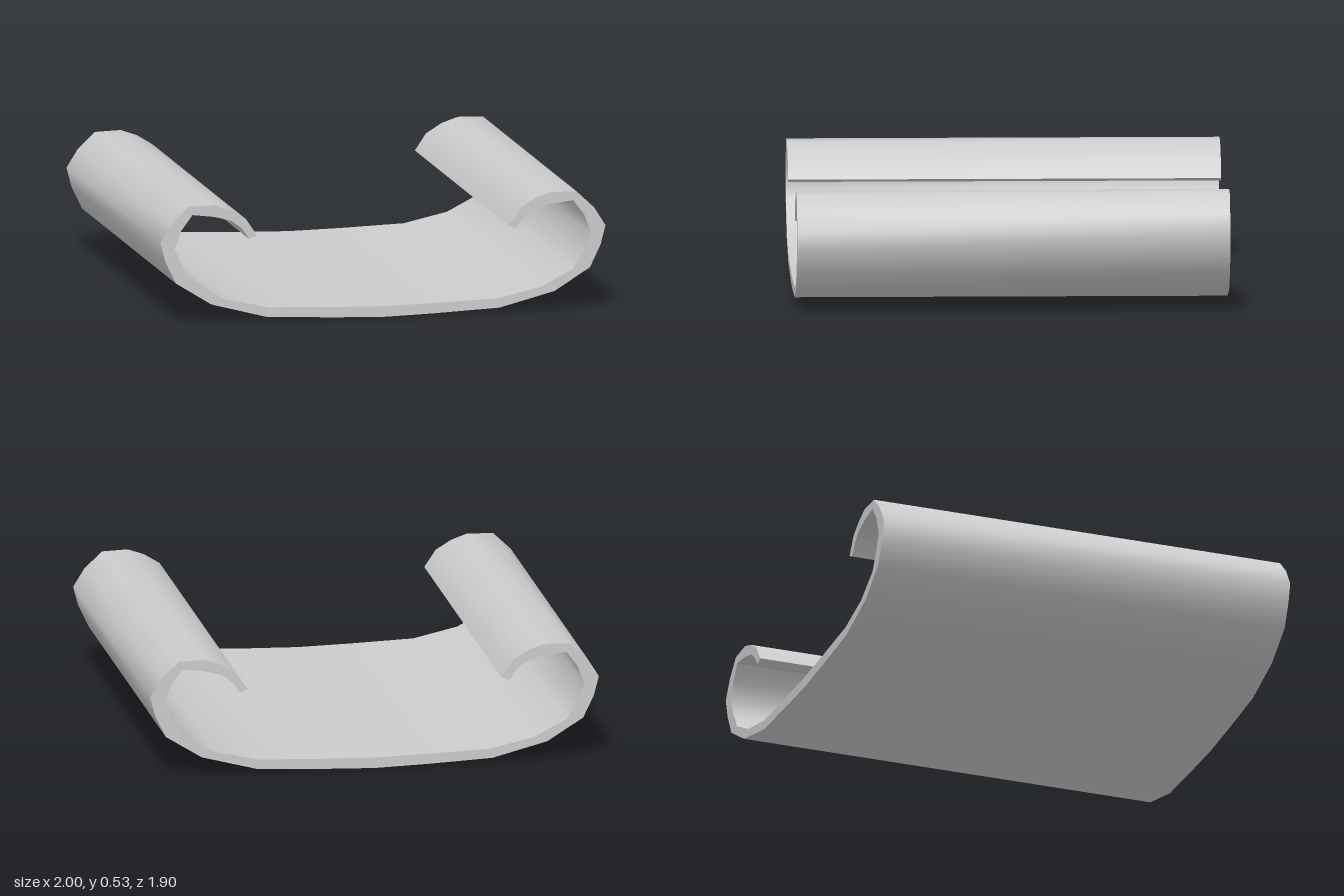
import * as THREE from 'three';
import { toCreasedNormals } from 'three/addons/utils/BufferGeometryUtils.js';

const DEPTH = 1.9;

// Right half of the cross-section, from the middle out to the curled tip
const outer = [
  [0, 0], [0.23, 0.007], [0.525, 0.021], [0.77, 0.085], [0.93, 0.185], [0.978, 0.285], [1, 0.37],
  [0.95, 0.45], [0.872, 0.524], [0.757, 0.528], [0.685, 0.503], [0.615, 0.46], [0.565, 0.385],
];
const inner = [
  [0, 0.048], [0.23, 0.053], [0.515, 0.063], [0.71, 0.107], [0.855, 0.182], [0.9, 0.257], [0.935, 0.337],
  [0.905, 0.42], [0.855, 0.487], [0.757, 0.475], [0.68, 0.455], [0.635, 0.42], [0.6, 0.37],
];

// Joins a half profile with its mirror image, running left to right
function mirrored(half) {
  const left = half.slice(1).reverse().map(([x, y]) => [-x, y]);
  return [...left, ...half];
}

export function createModel() {
  const group = new THREE.Group();
  group.name = 'scrolledTray';

  // Closed outline: along the outside, then back along the inside
  const outline = [...mirrored(outer), ...mirrored(inner).reverse()];
  const shape = new THREE.Shape(outline.map(([x, y]) => new THREE.Vector2(x, y)));

  // Curled sheet with smooth bends and sharp rims
  const sheet = new THREE.ExtrudeGeometry(shape, { depth: DEPTH, bevelEnabled: false });
  sheet.translate(0, 0, -DEPTH / 2);
  const mesh = new THREE.Mesh(
    toCreasedNormals(sheet, Math.PI / 3),
    new THREE.MeshStandardMaterial({ color: 0xcccccc }),
  );
  mesh.name = 'curledSheet';
  group.add(mesh);

  return group;
}
